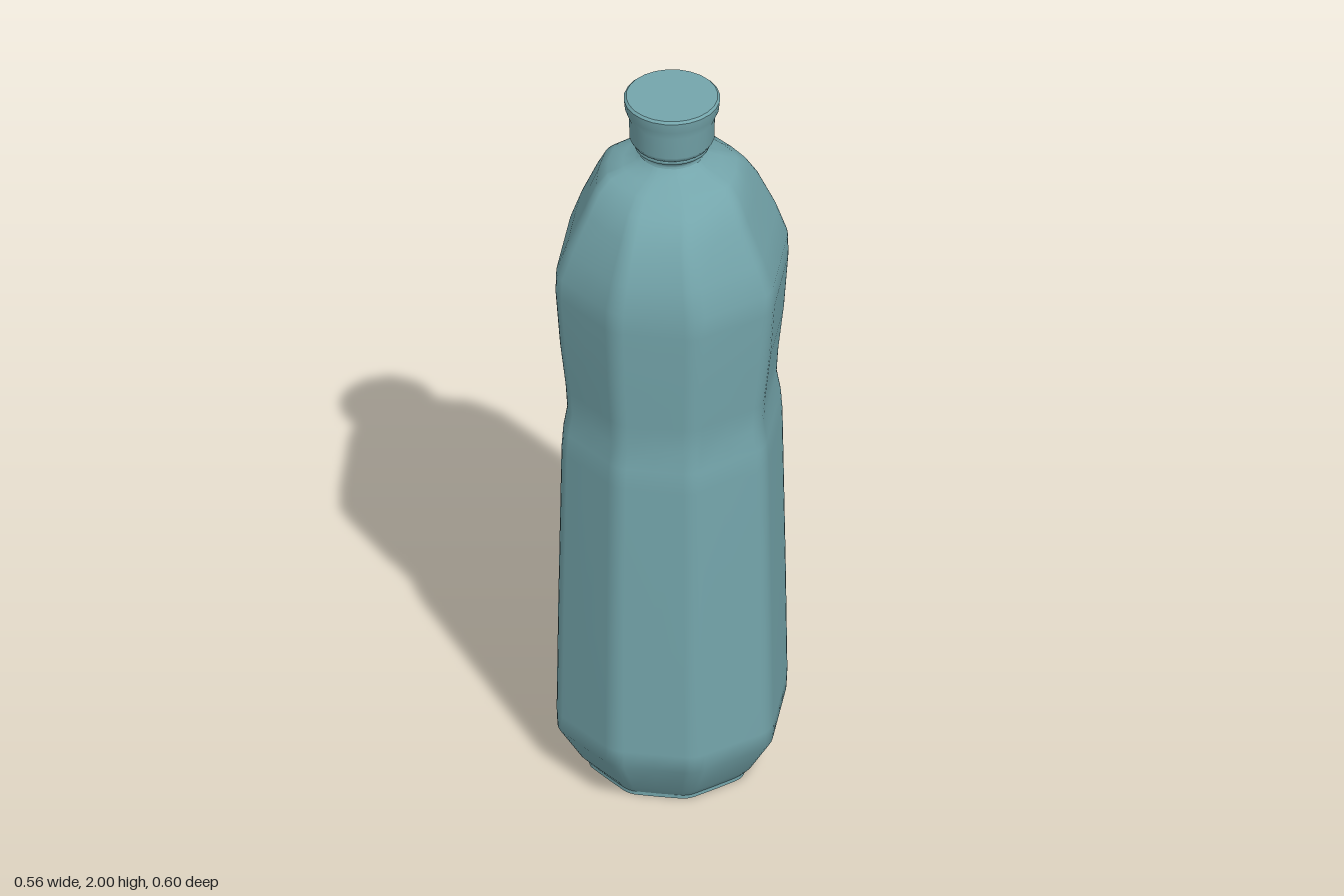
import * as THREE from 'three';

const material = new THREE.MeshStandardMaterial({ color: 0x74a5ab });

// Octagonal outline with softened corners, in units of half width and half depth;
// round = 0 keeps the facets, round = 1 gives an ellipse.
function outline(round) {
  const corners = [[1, -0.5], [1, 0.5], [0.38, 1], [-0.38, 1], [-1, 0.5], [-1, -0.5], [-0.38, -1], [0.38, -1]]
    .map(([x, z]) => new THREE.Vector2(x, z));
  const points = [];
  corners.forEach((corner, i) => {
    const before = corners[(i + 7) % 8], after = corners[(i + 1) % 8];
    const start = corner.clone().lerp(before, 0.13), end = corner.clone().lerp(after, 0.13);
    points.push(...new THREE.QuadraticBezierCurve(start, corner, end).getPoints(4));
    points.push(end.clone().lerp(after.clone().lerp(corner, 0.13), 0.5));
  });
  return points.map((p) => p.clone().lerp(p.clone().normalize(), round));
}

// Skin of rings stacked upwards, closed around and smooth
function loft(rings) {
  const n = rings[0].length, index = [];
  for (let j = 0; j < rings.length - 1; j++) {
    for (let i = 0; i < n; i++) {
      const a = j * n + i, b = j * n + (i + 1) % n;
      index.push(a, a + n, b, b, a + n, b + n);
    }
  }
  const geometry = new THREE.BufferGeometry();
  geometry.setAttribute('position', new THREE.Float32BufferAttribute(rings.flat(2), 3));
  geometry.setIndex(index);
  geometry.computeVertexNormals();
  return geometry;
}

export function createModel() {
  const model = new THREE.Group();
  const add = (name, geometry) => {
    const mesh = new THREE.Mesh(geometry, material);
    mesh.name = name;
    model.add(mesh);
    return mesh;
  };

  // Faceted body: height, half width, half depth, roundness
  const sections = [
    [0.01, 0.2, 0.225, 0.1], [0.035, 0.222, 0.242, 0.05], [0.13, 0.274, 0.297, 0],
    [0.18, 0.276, 0.3, 0], [0.5, 0.272, 0.298, 0], [0.98, 0.264, 0.292, 0],
    [1.04, 0.26, 0.287, 0], [1.1, 0.25, 0.278, 0], [1.17, 0.254, 0.282, 0],
    [1.3, 0.268, 0.291, 0], [1.46, 0.279, 0.299, 0], [1.52, 0.277, 0.299, 0],
    [1.6, 0.25, 0.288, 0.05], [1.7, 0.21, 0.25, 0.2], [1.755, 0.188, 0.2, 0.4],
    [1.785, 0.163, 0.155, 0.6], [1.8, 0.125, 0.12, 0.8], [1.815, 0.095, 0.095, 1], [1.83, 0.082, 0.082, 1],
  ];
  const rings = sections.map(([y, w, d, round]) => outline(round).map((p) => [p.x * w, y, p.y * d]));
  add('body', loft(rings));

  // Flat base
  const baseShape = new THREE.Shape(outline(0.1).map((p) => new THREE.Vector2(p.x * 0.2, p.y * 0.225)));
  const base = add('base', new THREE.ShapeGeometry(baseShape));
  base.rotation.x = Math.PI / 2;
  base.position.y = 0.01;
  const rim = add('baseRim', new THREE.ExtrudeGeometry(baseShape, { depth: 0.01, bevelEnabled: false }));
  rim.rotation.x = Math.PI / 2;
  rim.position.y = 0.01;

  const lathe = (points) => new THREE.LatheGeometry(points.map(([r, y]) => new THREE.Vector2(r, y)), 24);

  // Neck with its collar ring
  add('neck', lathe([[0.084, 1.82], [0.078, 1.832], [0.08, 1.842], [0.095, 1.852], [0.098, 1.862], [0.086, 1.874]]));

  // Screw cap, flaring to a rim
  add('cap', lathe([[0.075, 1.862], [0.098, 1.864], [0.108, 1.88], [0.109, 1.94], [0.119, 1.965], [0.122, 1.994]]));
  add('capEdge', lathe([[0.122, 1.994], [0.116, 2]]));
  const top = add('capTop', new THREE.CircleGeometry(0.116, 24));
  top.rotation.x = -Math.PI / 2;
  top.position.y = 2;

  return model;
}
